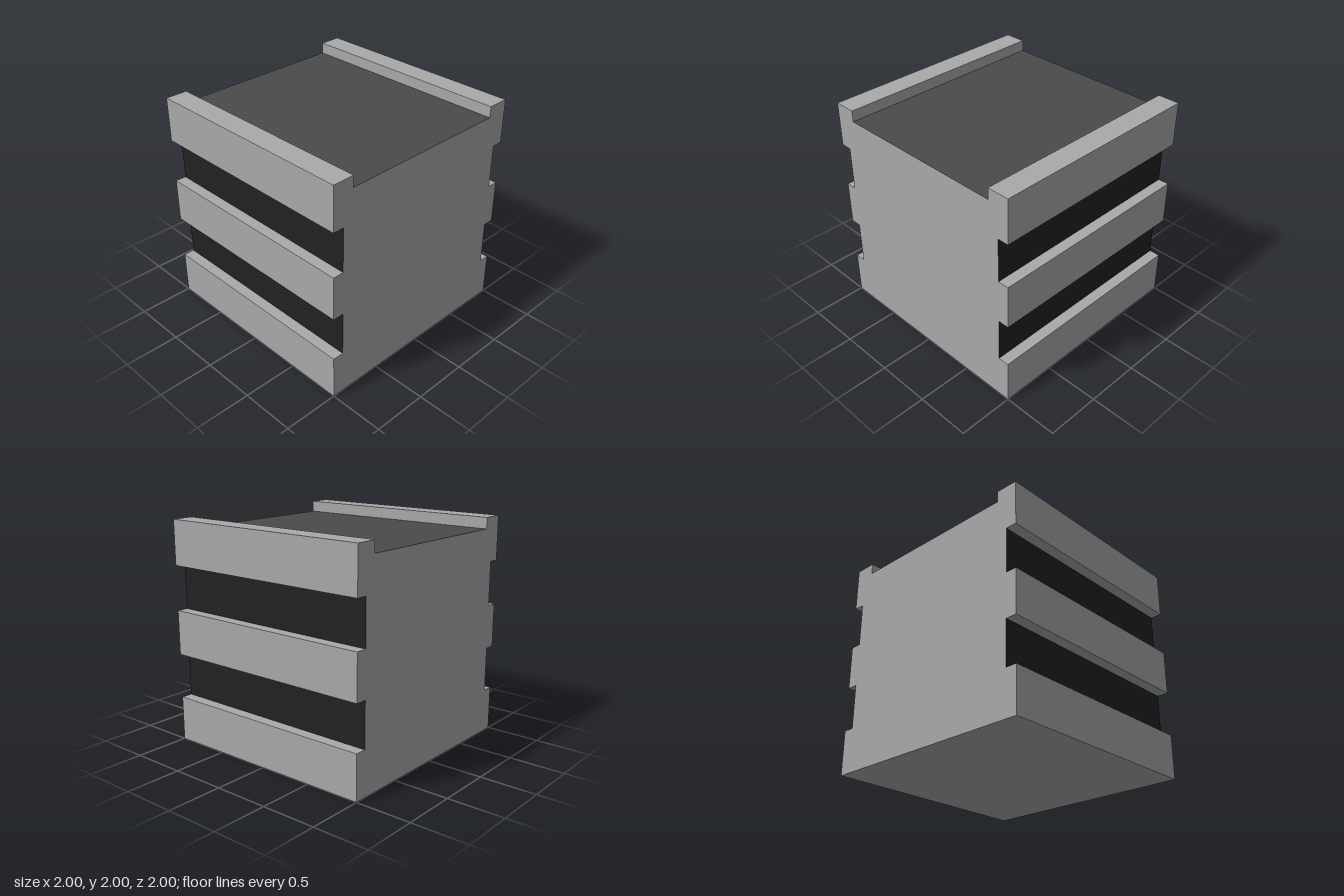
import * as THREE from 'three';

const paint = (name, color) => Object.assign(new THREE.MeshStandardMaterial({ color }), { name });

export function createModel() {
  const grey = paint('light grey', 0xaaaaaa);
  const black = paint('groove black', 0x222222);
  const dark = paint('dark grey', 0x4a4a4a);

  // Half of the side profile (z, y), from the bottom up; mirrored for the back
  const half = [
    [1, 0], [1, 0.4], [0.9, 0.4], [0.9, 0.8], [1, 0.8], [1, 1.2],
    [0.9, 1.2], [0.9, 1.6], [1, 1.6], [1, 2], [0.8, 2], [0.8, 1.9],
  ];
  const outline = [...half, ...half.map(([z, y]) => [-z, y]).reverse()];
  const profile = new THREE.Shape(outline.map(([z, y]) => new THREE.Vector2(z, y)));

  // Banded block with a recessed top, extruded across its width
  const block = new THREE.ExtrudeGeometry(profile, { depth: 2, bevelEnabled: false });
  block.translate(0, 0, -1).rotateY(-Math.PI / 2);

  // Colour the groove floors black and the recessed top dark
  const pos = block.attributes.position;
  block.clearGroups();
  for (let i = 0; i < pos.count; i += 3) {
    const all = (test) => [i, i + 1, i + 2].every(test);
    const grooveFloor = all((k) => Math.abs(Math.abs(pos.getZ(k)) - 0.9) < 1e-4);
    const recessedTop = all((k) => Math.abs(pos.getY(k) - 1.9) < 1e-4);
    block.addGroup(i, 3, grooveFloor ? 1 : recessedTop ? 2 : 0);
  }

  const body = new THREE.Mesh(block, [grey, black, dark]);
  body.name = 'groovedBlock';
  const model = new THREE.Group();
  model.name = 'bandedBlock';
  model.add(body);
  return model;
}
